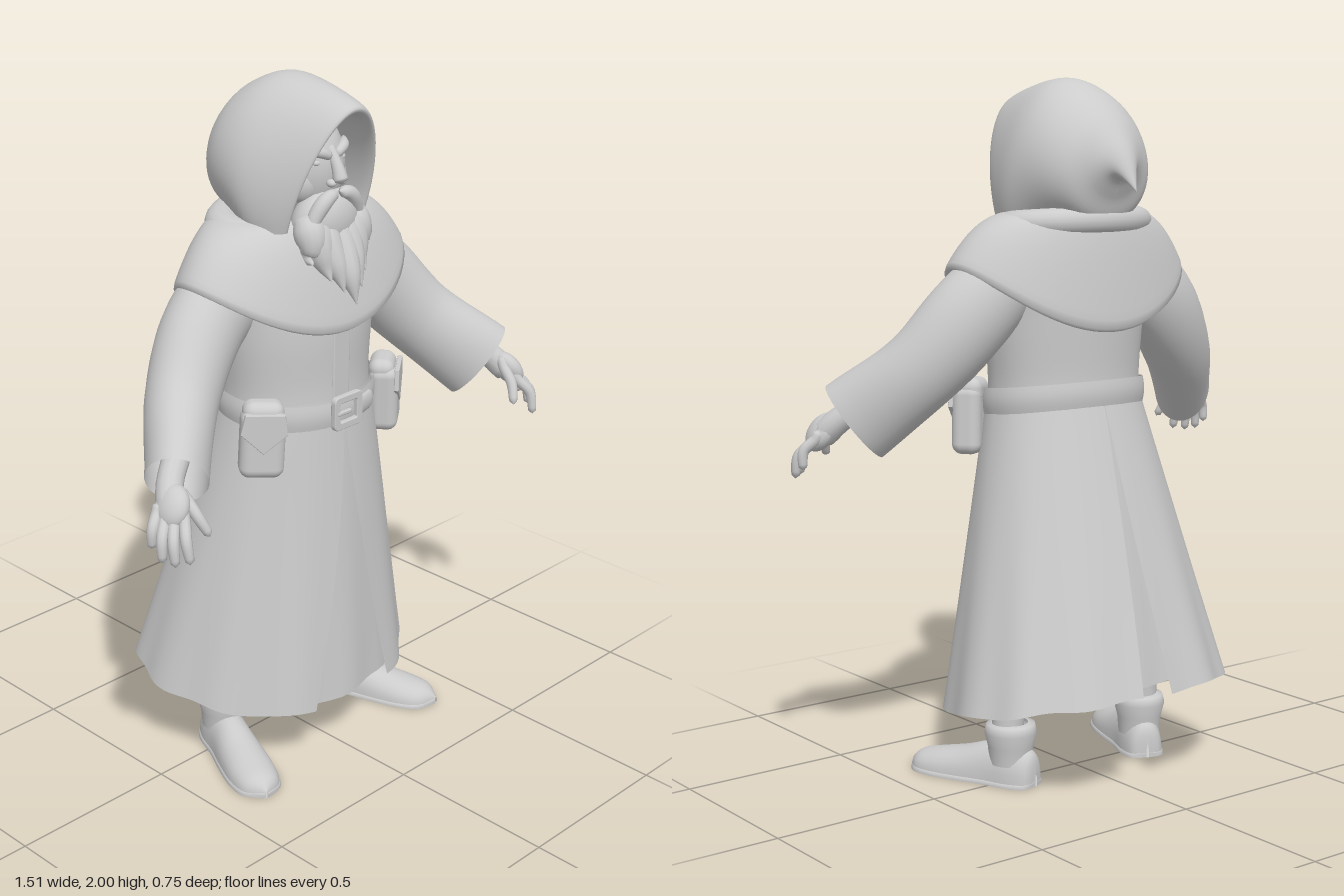
import * as THREE from 'three';
import { RoundedBoxGeometry } from 'three/addons/geometries/RoundedBoxGeometry.js';

const mat = new THREE.MeshStandardMaterial({ color: 0xcccccc, side: THREE.DoubleSide });
const V = (x, y, z) => new THREE.Vector3(x, y, z);
const lerp = THREE.MathUtils.lerp;
const TAU = Math.PI * 2;

function add(parent, name, geo, pos = [0, 0, 0], rot = [0, 0, 0], scale = [1, 1, 1]) {
  const m = new THREE.Mesh(geo, mat);
  m.name = name;
  m.position.set(...pos);
  m.rotation.set(...rot);
  m.scale.set(...scale);
  parent.add(m);
}

// Smooth skin over a grid of points: point(row 0..1, column 0..1)
function skin(rows, cols, point, closed = true) {
  const pos = [], idx = [], n = closed ? cols : cols + 1;
  for (let i = 0; i <= rows; i++)
    for (let j = 0; j < n; j++) pos.push(...point(i / rows, j / cols));
  for (let i = 0; i < rows; i++)
    for (let j = 0; j < cols; j++) {
      const a = i * n + j, b = i * n + (j + 1) % n;
      idx.push(a, a + n, b, b, a + n, b + n);
    }
  const g = new THREE.BufferGeometry();
  g.setAttribute('position', new THREE.Float32BufferAttribute(pos, 3));
  g.setIndex(idx);
  g.computeVertexNormals();
  return g;
}

// Smooth interpolation through a table of number rows
function sample(table, t) {
  const f = Math.min(t, 0.99999) * (table.length - 1), i = Math.floor(f), k = f - i;
  const at = (n) => table[Math.max(0, Math.min(table.length - 1, n))];
  return table[i].map((p1, c) => {
    const p0 = at(i - 1)[c], p2 = at(i + 1)[c], p3 = at(i + 2)[c];
    return p1 + 0.5 * k * (p2 - p0 + k * (2 * p0 - 5 * p1 + 4 * p2 - p3 + k * (3 * (p1 - p2) + p3 - p0)));
  });
}

// Tube of varying radius through points, with rounded ends
function limb(points, radii, rows = 16, cols = 14) {
  const curve = new THREE.CatmullRomCurve3(points.map((p) => V(...p)));
  const fr = curve.computeFrenetFrames(rows);
  return skin(rows, cols, (t, u) => {
    const e = Math.max(0, Math.abs(t - 0.5) - 0.4) / 0.1;
    const r = sample(radii.map((v) => [v]), t)[0] * Math.sqrt(Math.max(0, 1 - e * e));
    const i = Math.round(t * rows), a = u * TAU;
    return curve.getPointAt(t)
      .addScaledVector(fr.normals[i], r * Math.cos(a))
      .addScaledVector(fr.binormals[i], r * Math.sin(a)).toArray();
  });
}

// Egg-shaped outline: angle 0 faces the front
const oval = (a, w, front, back, y) => {
  const c = Math.cos(a), mid = (front + back) / 2 - 0.2 * Math.max(0, w - 0.25);
  return [w * Math.sin(a), y, c > 0 ? mid + (front - mid) * c : mid - (mid - back) * Math.pow(-c, 0.88)];
};

// Skirt surface shared by the outer panels and the lining
function skirtPoint(t, a, inset = 0) {
  const hem = 0.24 - 0.055 * Math.cos(a) + 0.004 * Math.sin(9 * a);
  const fold = 0.006 * t * t * Math.cos(12 * a) - inset * 0.15;
  return oval(a, lerp(0.232, 0.432 - inset, t) + fold, lerp(0.24, 0.318 - inset * 0.7, t) + fold,
    lerp(-0.13, -0.38 + inset * 2, t) - fold, lerp(1.12, hem, t));
}

function buildRobe(g) {
  const body = [[1.06, 0.24, 0.235, -0.135], [1.16, 0.236, 0.228, -0.125], [1.33, 0.25, 0.228, -0.13],
    [1.48, 0.25, 0.2, -0.13], [1.6, 0.13, 0.14, -0.12]];
  add(g, 'robeBody', skin(20, 48, (t, u) => {
    const [y, w, f, b] = sample(body, t);
    return oval(u * TAU, w, f, b, y);
  }));
  add(g, 'frontPlacket', new RoundedBoxGeometry(0.065, 0.26, 0.02, 3, 0.006), [0, 1.23, 0.222]);
  add(g, 'skirtLining', skin(16, 64, (t, u) => skirtPoint(t, u * TAU, 0.045)));
  // Two outer panels, parted at front and back
  for (const s of [1, -1])
    add(g, 'skirtPanel', skin(24, 48, (t, u) => {
      const a = lerp(0.36 * Math.max(0, t - 0.08) / 0.92, Math.PI - 0.12 * t, u);
      return skirtPoint(t, s * a);
    }, false));
  // Shoulder cape with a rolled rim
  add(g, 'shoulderCape', skin(22, 72, (t, u) => {
    const a = u * TAU, c = Math.cos(a), s = Math.min(1, t / 0.9), under = Math.max(0, t - 0.9) / 0.1;
    const rim = 1.485 - (c > 0 ? 0.155 : 0.175) * c * c;
    const k = Math.pow(s, 0.82), w = lerp(0.18, 0.395, k) - 0.025 * under;
    const f = lerp(0.14, 0.265, k) - 0.025 * under, b = lerp(-0.13, -0.192, k) + 0.025 * under;
    const mid = (f + b) / 2;
    return [w * Math.sin(a), lerp(1.63, rim, Math.pow(s, lerp(2, 1.6, c * c))) - 0.012 * Math.sin(under * Math.PI),
      mid + (f - mid) * c];
  }));
  add(g, 'cowlFold', new THREE.TorusGeometry(0.145, 0.04, 16, 48), [0, 1.595, 0.005], [Math.PI / 2 + 0.08, 0, 0], [1.36, 0.95, 1]);
}

function buildHood(g) {
  // Arches from inside the lip to the drooping tip: zTop, yTop, zBottom, yBottom, halfWidth, wrap angle
  const arches = [[0.1, 1.93, 0.06, 1.61, 0.15, 1.85], [0.24, 1.92, 0.14, 1.61, 0.14, 1.85], [0.27, 1.948, 0.165, 1.61, 0.155, 1.85],
    [0.15, 1.985, 0.12, 1.605, 0.188, 1.95], [0.02, 2, 0.04, 1.6, 0.214, 2.15], [-0.08, 1.965, -0.06, 1.59, 0.202, 2.7],
    [-0.15, 1.91, -0.145, 1.6, 0.158, 3.14], [-0.2, 1.85, -0.18, 1.67, 0.095, 3.14], [-0.24, 1.785, -0.217, 1.722, 0.042, 3.14],
    [-0.275, 1.692, -0.272, 1.69, 0.001, 3.14]];
  add(g, 'hood', skin(54, 48, (t, u) => {
    const [zt, yt, zb, yb, w, wrap] = sample(arches, t), a = (u * 2 - 1) * Math.min(wrap, Math.PI);
    const k = (1 - Math.cos(a)) / (1 - Math.cos(wrap));
    return [w * Math.sin(a) * (0.86 + 0.16 * k), lerp(yt, yb, k), lerp(zt, zb, k)];
  }, false));
}

function buildHead(g) {
  const ball = new THREE.SphereGeometry(1, 28, 20);
  add(g, 'head', ball, [0, 1.76, 0.075], [0, 0, 0], [0.11, 0.155, 0.122]);
  add(g, 'neck', new THREE.CylinderGeometry(0.07, 0.09, 0.2, 20), [0, 1.6, 0.03]);
  add(g, 'nose', limb([[0, 1.825, 0.17], [0, 1.775, 0.204], [0, 1.728, 0.222]], [0.016, 0.016, 0.022]));
  add(g, 'lowerLip', ball, [0, 1.676, 0.196], [0, 0, 0], [0.028, 0.011, 0.018]);
  add(g, 'beardBase', ball, [0, 1.61, 0.16], [0.15, 0, 0], [0.112, 0.1, 0.072]);
  // Beard locks: root x, tip x, tip y, tip z
  for (const [r, x, y, z] of [[0, 0, 1.4, 0.285], [0.03, 0.035, 1.44, 0.272], [0.058, 0.068, 1.475, 0.255], [0.082, 0.108, 1.525, 0.225]])
    for (const s of r ? [1, -1] : [1])
      add(g, 'beardLock', limb([[s * r, 1.65, 0.165], [s * (r + 0.008), 1.57, 0.2], [s * (x * 0.7 + r * 0.3), (y + 1.55) / 2, z - 0.027], [s * x, y, z]],
        [0.03, 0.046, 0.034, 0.003]));
  for (const s of [1, -1]) {
    add(g, 'nostril', ball, [s * 0.02, 1.73, 0.203], [0, 0, 0], [0.013, 0.011, 0.015]);
    add(g, 'eye', ball, [s * 0.043, 1.785, 0.176], [0, 0, 0], [0.017, 0.009, 0.009]);
    add(g, 'cheek', ball, [s * 0.052, 1.725, 0.128], [0, s * 0.4, 0], [0.05, 0.06, 0.045]);
    add(g, 'brow', limb([[s * 0.008, 1.798, 0.19], [s * 0.045, 1.815, 0.182], [s * 0.09, 1.825, 0.142]], [0.012, 0.015, 0.006]));
    add(g, 'moustache', limb([[s * 0.003, 1.705, 0.212], [s * 0.045, 1.69, 0.21], [s * 0.082, 1.64, 0.2], [s * 0.1, 1.59, 0.2], [s * 0.128, 1.565, 0.195]],
      [0.014, 0.022, 0.021, 0.014, 0.003]));
  }
}

function buildArm(g) {
  // Sleeve with upright oval sections: side radius, upright radius
  const path = new THREE.CatmullRomCurve3([V(0.2, 1.47, 0.03), V(0.33, 1.36, 0.03), V(0.46, 1.21, 0.085), V(0.605, 1.055, 0.218)]);
  const radii = [[0.1, 0.12], [0.107, 0.124], [0.098, 0.115], [0.085, 0.126]];
  add(g, 'sleeve', skin(28, 32, (t, u) => {
    const [side, upright] = sample(radii, t), dir = path.getTangentAt(t);
    const across = dir.clone().cross(V(0, 1, 0)).normalize();
    return path.getPointAt(t).addScaledVector(across, side * Math.cos(u * TAU))
      .addScaledVector(across.clone().cross(dir), upright * Math.sin(u * TAU)).toArray();
  }));
  add(g, 'forearm', limb([[0.46, 1.2, 0.09], [0.58, 1.11, 0.19], [0.645, 1.06, 0.235], [0.685, 1.0, 0.285]], [0.05, 0.042, 0.036, 0.04]));
  add(g, 'palm', new THREE.SphereGeometry(1, 20, 16), [0.675, 1.025, 0.277], [-0.3, -0.25, 0.5], [0.034, 0.06, 0.052]);
  // Fingers: knuckle, then tip; the thumb is last
  const fingers = [[[0.672, 1.0, 0.32], [0.695, 0.895, 0.366]], [[0.692, 0.995, 0.302], [0.725, 0.89, 0.342]],
    [[0.704, 0.998, 0.28], [0.742, 0.898, 0.31]], [[0.708, 1.01, 0.255], [0.742, 0.925, 0.27]],
    [[0.64, 1.04, 0.292], [0.615, 0.945, 0.355]]];
  fingers.forEach(([a, b], i) => {
    const mid = a.map((v, k) => (v + b[k]) / 2 + [0.012, 0.012, 0.008][k] * (i < 4 ? 1 : 0.6));
    const root = a.map((v, k) => v + (a[k] - b[k]) * 0.3);
    add(g, i < 4 ? 'finger' : 'thumb', limb([root, a, mid, b], [0.015, 0.016, 0.015, 0.012], 16, 10));
  });
}

function buildFoot(g) {
  const foot = new THREE.Group();
  foot.name = 'boot';
  foot.position.set(0.245, 0, 0);
  foot.rotation.y = 0.38;
  g.add(foot);
  // Length position, half width, height
  const cuts = [[-0.097, 0.004, 0.04], [-0.085, 0.045, 0.095], [-0.03, 0.062, 0.12], [0.05, 0.062, 0.115],
    [0.14, 0.07, 0.087], [0.225, 0.072, 0.068], [0.29, 0.055, 0.052], [0.327, 0.003, 0.02]];
  const shoe = (name, grow, flat) => add(foot, name, skin(28, 24, (t, u) => {
    const [z, w, h] = sample(cuts, t), s = Math.sin(u * TAU);
    return [Math.cos(u * TAU) * (w + grow), s > 0 ? (flat || h) * Math.pow(s, flat ? 0.3 : 0.8) : 0, z];
  }));
  shoe('bootUpper', 0, 0);
  shoe('bootSole', 0.004, 0.016);
  const shaft = [[0.062, 0.06], [0.066, 0.11], [0.076, 0.15], [0.07, 0.175], [0.05, 0.178]];
  add(foot, 'bootShaft', new THREE.LatheGeometry(shaft.map((p) => new THREE.Vector2(...p)), 28), [0, 0, -0.012]);
  add(g, 'leg', new THREE.CylinderGeometry(0.065, 0.045, 0.55, 20), [0.235, 0.415, -0.01], [0, 0, 0.06]);
}

function buildPouch(g) {
  const p = new THREE.Group();
  p.name = 'beltPouch';
  p.position.set(0.247, 1.045, 0.168);
  p.rotation.set(0, 0.65, 0.05);
  g.add(p);
  add(p, 'pouchBody', new RoundedBoxGeometry(0.125, 0.2, 0.085, 4, 0.03), [0, -0.008, 0]);
  add(p, 'pouchTop', new RoundedBoxGeometry(0.115, 0.08, 0.075, 4, 0.03), [0, 0.072, -0.006]);
  const flap = new THREE.Shape([[-0.052, 0.085], [0.052, 0.085], [0.062, 0.03], [0, -0.025], [-0.062, 0.03]].map((q) => new THREE.Vector2(...q)));
  add(p, 'pouchFlap', new THREE.ExtrudeGeometry(flap, { depth: 0.008, bevelSize: 0.003, bevelThickness: 0.003, bevelSegments: 2 }), [0, 0, 0.036]);
}

function buildBelt(g) {
  add(g, 'belt', skin(6, 64, (t, u) => {
    const a = u * TAU, e = 0.005 * Math.sin(t * Math.PI);
    return oval(a, 0.246 + e, 0.246 + e, -0.14 - e, 1.04 + 0.075 * t + 0.022 * (1 - Math.cos(a)));
  }));
  // Round-cornered buckle frame
  const rounded = (path, w, h, r) => path.moveTo(-w + r, -h).lineTo(w - r, -h).quadraticCurveTo(w, -h, w, -h + r)
    .lineTo(w, h - r).quadraticCurveTo(w, h, w - r, h).lineTo(-w + r, h).quadraticCurveTo(-w, h, -w, h - r)
    .lineTo(-w, -h + r).quadraticCurveTo(-w, -h, -w + r, -h);
  const frame = new THREE.Shape(), hole = new THREE.Path();
  rounded(frame, 0.053, 0.047, 0.015);
  rounded(hole, 0.036, 0.031, 0.008);
  frame.holes.push(hole);
  add(g, 'buckleFrame', new THREE.ExtrudeGeometry(frame, { depth: 0.01, bevelSize: 0.003, bevelThickness: 0.004, bevelSegments: 3 }), [0, 1.082, 0.248]);
  add(g, 'bucklePin', new RoundedBoxGeometry(0.055, 0.012, 0.012, 2, 0.004), [-0.018, 1.082, 0.259]);
  add(g, 'beltTip', new THREE.CapsuleGeometry(0.029, 0.045, 6, 16), [0.088, 1.075, 0.235], [0, 0.3, Math.PI / 2], [1, 1, 0.4]);
}

export function createModel() {
  const model = new THREE.Group();
  model.name = 'hoodedElder';
  buildRobe(model);
  buildHood(model);
  buildHead(model);
  buildBelt(model);
  for (const s of [1, -1]) {
    const half = new THREE.Group();
    half.name = s > 0 ? 'leftSide' : 'rightSide';
    half.scale.x = s;
    buildArm(half);
    buildFoot(half);
    buildPouch(half);
    model.add(half);
  }
  return model;
}
